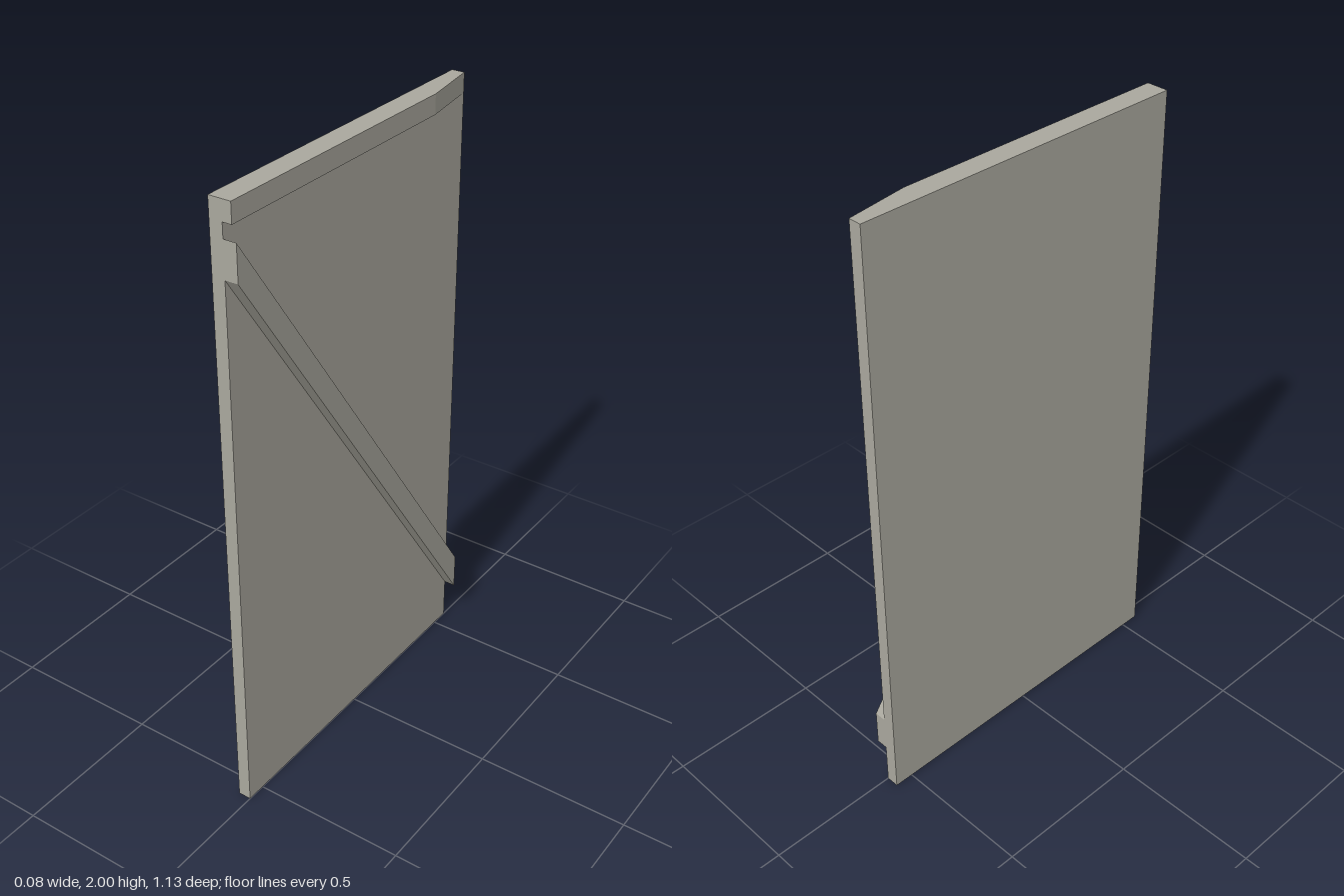
import * as THREE from 'three';

const HALF = 0.563; // half the panel width, along z

// Prism with corner list a at one end and b at the other (counter-clockwise seen from outside end a)
function loft(a, b, material, name) {
  const tris = [];
  const quad = (p, q, r, s) => tris.push(p, q, r, p, r, s);
  quad(...a);
  quad(b[3], b[2], b[1], b[0]);
  for (let i = 0; i < 4; i++) {
    const j = (i + 1) % 4;
    quad(a[j], a[i], b[i], b[j]);
  }
  const geometry = new THREE.BufferGeometry();
  geometry.setAttribute('position', new THREE.Float32BufferAttribute(tris.flat(), 3));
  geometry.computeVertexNormals();
  const mesh = new THREE.Mesh(geometry, material);
  mesh.name = name;
  return mesh;
}

// Rectangular section at depth z
const section = (x0, x1, y0, y1, z) => [[x0, y0, z], [x1, y0, z], [x1, y1, z], [x0, y1, z]];

export function createModel() {
  const group = new THREE.Group();
  group.name = 'bracedPanel';
  const paint = new THREE.MeshStandardMaterial({ color: 0xaaa89e });
  paint.name = 'warm grey';

  // Upright panel
  const panel = new THREE.Mesh(new THREE.BoxGeometry(0.042, 2, HALF * 2), paint);
  panel.position.set(-0.021, 1, 0);
  panel.name = 'panel';
  group.add(panel);

  // Top rail, tapering into the panel towards the back
  const outline = new THREE.Shape([
    new THREE.Vector2(0, -HALF), new THREE.Vector2(0.03, -HALF),
    new THREE.Vector2(0.03, 0.36), new THREE.Vector2(0, HALF),
  ]);
  const railGeometry = new THREE.ExtrudeGeometry(outline, { depth: 0.062, bevelEnabled: false });
  railGeometry.rotateX(-Math.PI / 2);
  const rail = new THREE.Mesh(railGeometry, paint);
  rail.position.y = 1.938;
  rail.name = 'topRail';
  group.add(rail);

  // Diagonal brace with upright cut ends
  group.add(loft(
    section(0, 0.042, 1.78, 1.893, HALF),
    section(0, 0.038, 0.142, 0.265, -HALF),
    paint, 'diagonalBrace',
  ));

  return group;
}
